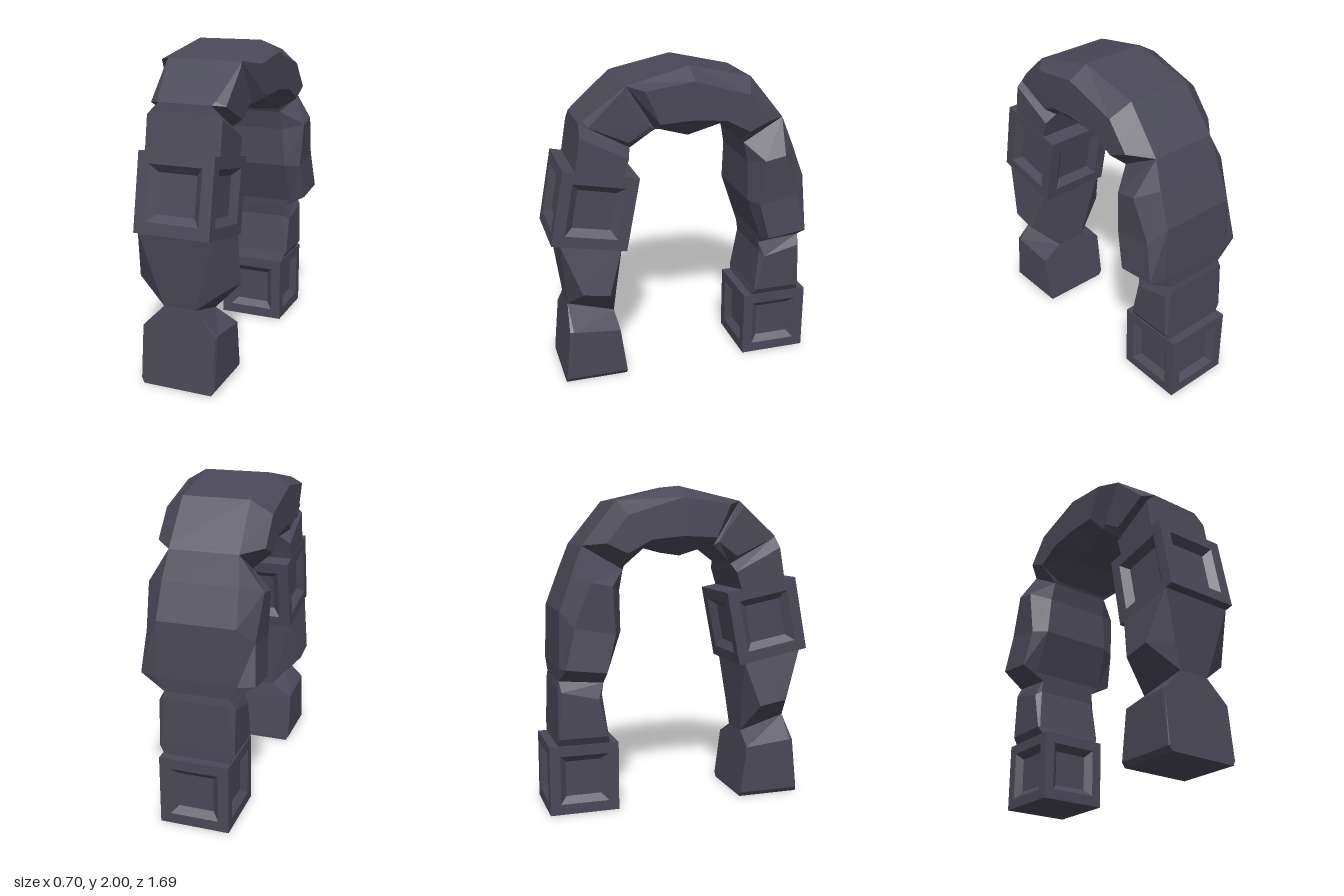
import * as THREE from 'three';
import { mergeGeometries } from 'three/addons/utils/BufferGeometryUtils.js';

const stone = new THREE.MeshStandardMaterial({ color: 0x4a4857 });
stone.name = 'darkStone';

// Skin between closed rings of points, faceted, with optional end caps
function loft(rings, capStart = true, capEnd = true) {
  const pos = [];
  const tri = (a, b, c) => {
    const area = b.clone().sub(a).cross(c.clone().sub(a)).length();
    if (area > 1e-7) for (const p of [a, b, c]) pos.push(p.x, p.y, p.z);
  };
  const n = rings[0].length;
  for (let i = 0; i < rings.length - 1; i++) {
    for (let j = 0; j < n; j++) {
      const k = (j + 1) % n;
      tri(rings[i][j], rings[i][k], rings[i + 1][k]);
      tri(rings[i][j], rings[i + 1][k], rings[i + 1][j]);
    }
  }
  const first = rings[0], last = rings[rings.length - 1];
  for (let j = 1; j < n - 1; j++) {
    if (capStart) tri(first[0], first[j + 1], first[j]);
    if (capEnd) tri(last[0], last[j], last[j + 1]);
  }
  const g = new THREE.BufferGeometry();
  g.setAttribute('position', new THREE.Float32BufferAttribute(pos, 3));
  g.computeVertexNormals();
  return g;
}

// Mirrored ring: outer edge (w,z,y), side (w, z,y outer, z,y inner), inner edge (w,z,y)
function section([wo, zo, yo, ws, za, ya, zb, yb, wi, zi, yi]) {
  const half = [[wo, yo, zo], [ws, ya, za], [ws, yb, zb], [wi, yi, zi]];
  const left = half.map(([x, y, z]) => new THREE.Vector3(x, y, z));
  const right = half.map(([x, y, z]) => new THREE.Vector3(-x, y, z)).reverse();
  return [...left, ...right];
}

// Plain four-cornered ring, used at the creases between stones
const crease = (w, zo, yo, zi, yi) => [w, zo, yo, w, zo, yo, zi, yi, w, zi, yi];

function part(name, geometry) {
  const mesh = new THREE.Mesh(geometry, stone);
  mesh.name = name;
  return mesh;
}

// Cube with a recessed panel on each of its four sides
function panelCube(name, h, y, z, tilt) {
  const square = (s, d) => [[1, -1], [1, 1], [-1, 1], [-1, -1]]
    .map(([a, b]) => new THREE.Vector3(a * s, b * s, d));
  const faces = [];
  for (let i = 0; i < 4; i++) {
    const side = loft([square(h, h), square(h * 0.7, h), square(h * 0.51, h * 0.82)], false, true);
    faces.push(side.rotateY(i * Math.PI / 2));
  }
  for (const s of [-1, 1]) {
    faces.push(loft([square(h, h)], false, true).rotateX(s * Math.PI / 2));
  }
  const cube = part(name, mergeGeometries(faces));
  cube.position.set(0, y, z);
  cube.rotation.x = tilt;
  return cube;
}

export function createModel() {
  const model = new THREE.Group();
  model.name = 'stoneArch';

  // Creases shared by neighbouring stones
  const waist = crease(0.10, 0.75, 0.50, 0.45, 0.41);
  const neckTop = crease(0.165, 0.645, 1.69, 0.34, 1.52);
  const shoulderTop = crease(0.235, 0.37, 1.91, 0.20, 1.64);
  const archEnd = crease(0.21, -0.625, 1.645, -0.375, 1.50);
  const rearJoint = crease(0.20, -0.775, 0.835, -0.50, 0.81);

  const stones = {
    frontFoot: [
      crease(0.22, 0.80, 0, 0.40, 0),
      [0.235, 0.797, 0.03, 0.24, 0.79, 0.03, 0.40, 0.03, 0.235, 0.402, 0.03],
      [0.235, 0.764, 0.36, 0.24, 0.74, 0.36, 0.44, 0.33, 0.235, 0.44, 0.33],
      waist,
    ],
    frontShin: [
      waist,
      [0.145, 0.765, 0.64, 0.29, 0.68, 0.64, 0.51, 0.61, 0.14, 0.44, 0.57],
      crease(0.235, 0.80, 0.96, 0.42, 0.89),
    ],
    frontNeck: [
      crease(0.235, 0.69, 1.40, 0.40, 1.34),
      [0.18, 0.65, 1.64, 0.235, 0.652, 1.62, 0.36, 1.47, 0.18, 0.355, 1.48],
      neckTop,
    ],
    frontShoulder: [
      neckTop,
      [0.18, 0.62, 1.71, 0.235, 0.60, 1.68, 0.36, 1.57, 0.18, 0.325, 1.535],
      [0.23, 0.40, 1.885, 0.24, 0.40, 1.875, 0.235, 1.66, 0.225, 0.22, 1.625],
      shoulderTop,
    ],
    archTop: [
      shoulderTop,
      [0.235, 0.33, 1.92, 0.325, 0.28, 1.89, 0.19, 1.69, 0.22, 0.17, 1.635],
      [0.205, -0.02, 2.0, 0.325, -0.02, 1.93, -0.02, 1.70, 0.20, -0.015, 1.578],
      [0.205, -0.41, 1.91, 0.325, -0.365, 1.825, -0.22, 1.68, 0.20, -0.23, 1.635],
      [0.21, -0.605, 1.67, 0.325, -0.50, 1.66, -0.37, 1.60, 0.20, -0.365, 1.52],
      archEnd,
    ],
    rearThigh: [
      archEnd,
      [0.23, -0.69, 1.475, 0.35, -0.60, 1.435, -0.47, 1.41, 0.22, -0.40, 1.38],
      [0.24, -0.77, 1.26, 0.33, -0.70, 1.17, -0.45, 1.12, 0.24, -0.40, 1.13],
      [0.25, -0.78, 0.92, 0.35, -0.755, 0.925, -0.51, 0.895, 0.25, -0.495, 0.86],
      rearJoint,
    ],
    rearShin: [
      rearJoint,
      [0.20, -0.782, 0.79, 0.235, -0.765, 0.77, -0.535, 0.715, 0.20, -0.51, 0.74],
      [0.225, -0.787, 0.49, 0.235, -0.78, 0.48, -0.485, 0.48, 0.225, -0.475, 0.48],
      crease(0.205, -0.787, 0.43, -0.465, 0.43),
    ],
  };
  for (const [name, rows] of Object.entries(stones)) {
    model.add(part(name, loft(rows.map(section))));
  }

  // Panelled blocks on the front leg and under the rear leg
  model.add(panelCube('frontKneeBlock', 0.237, 1.153, 0.573, -0.19));
  model.add(panelCube('rearFootBlock', 0.216, 0.217, -0.627, 0));
  return model;
}
